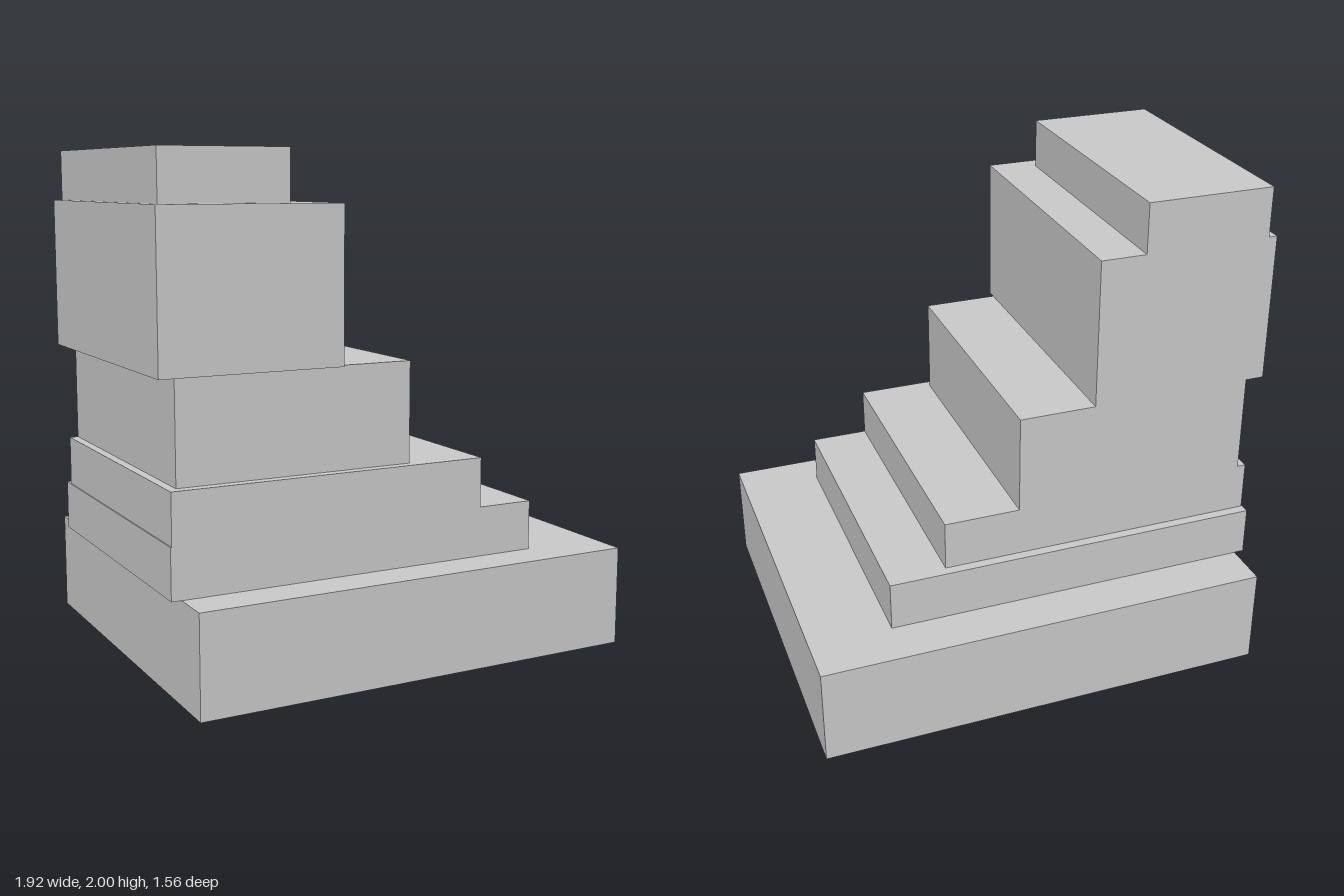
import * as THREE from 'three';

// Stepped stack of slabs: name, then x, y and z extents
const SLABS = [
  ['base', -0.885, 0.957, 0, 0.4, -0.78, 0.78],
  ['lowerStep', -0.925, 0.625, 0.4, 0.6, -0.59, 0.62],
  ['secondStep', -0.92, 0.387, 0.6, 0.8, -0.55, 0.62],
  ['middleBlock', -0.885, 0.08, 0.8, 1.2, -0.55, 0.58],
  ['upperBlock', -0.96, -0.23, 1.2, 1.8, -0.55, 0.623],
  ['topSlab', -0.925, -0.413, 1.8, 2, -0.55, 0.55],
];

export function createModel() {
  const group = new THREE.Group();
  group.name = 'steppedTower';
  const material = new THREE.MeshStandardMaterial({ color: 0xcccccc });
  for (const [name, x0, x1, y0, y1, z0, z1] of SLABS) {
    const slab = new THREE.Mesh(new THREE.BoxGeometry(x1 - x0, y1 - y0, z1 - z0), material);
    slab.name = name;
    slab.position.set((x0 + x1) / 2, (y0 + y1) / 2, (z0 + z1) / 2);
    group.add(slab);
  }
  return group;
}
